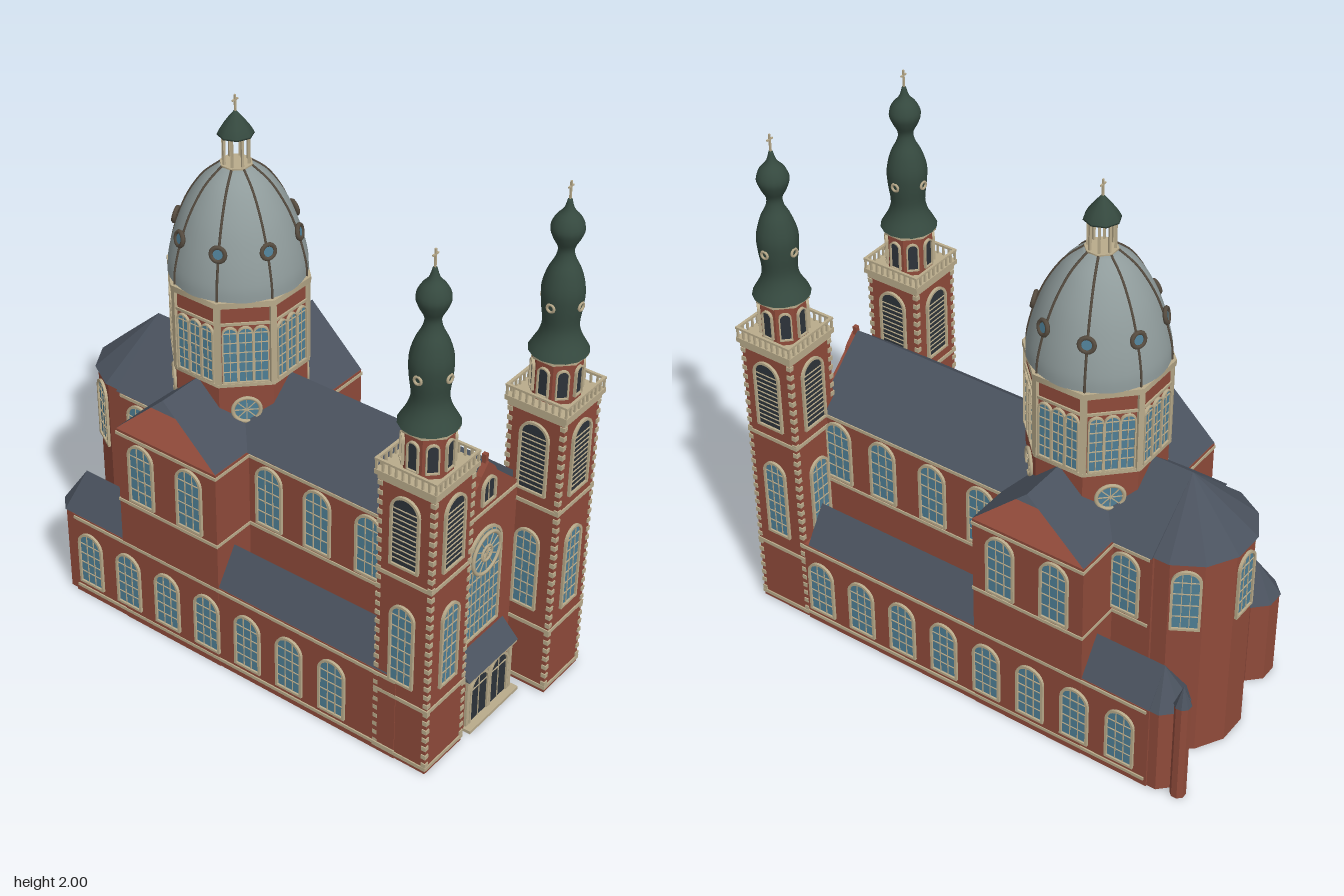
import * as THREE from 'three';

const mat = (color, extra = {}) => {
  const m = new THREE.MeshStandardMaterial(extra);
  m.color.set(color);
  return m;
};
const M = {
  brick: mat(0x8f4a3a, { flatShading: true }), slate: mat(0x4a525e, { flatShading: true, side: THREE.DoubleSide }),
  stone: mat(0xb9ab8b), glass: mat(0x4f7f96), dark: mat(0x2d333a), copper: mat(0x35493f),
  dome: mat(0x8f9b9b), rib: mat(0x564c40),
};

function add(parent, name, geo, material, x = 0, y = 0, z = 0, ry = 0) {
  const m = new THREE.Mesh(geo, material);
  m.name = name;
  m.position.set(x, y, z);
  m.rotation.y = ry;
  parent.add(m);
  return m;
}
function group(parent, name, x = 0, y = 0, z = 0, ry = 0) {
  const g = new THREE.Group();
  g.name = name;
  g.position.set(x, y, z);
  g.rotation.y = ry;
  parent.add(g);
  return g;
}
// box given by its bottom centre
const box = (p, name, m, w, h, d, x, y, z) => add(p, name, new THREE.BoxGeometry(w, h, d), m, x, y + h / 2, z);
// upright polygonal prism, or pyramid when r1 = 0, with a flat side facing z
const poly = (p, name, m, n, r0, r1, h, x, y, z) =>
  add(p, name, new THREE.CylinderGeometry(r1, r0, h, n), m, x, y + h / 2, z, Math.PI / n);
const spline = (pts, n) => new THREE.SplineCurve(pts.map(p => new THREE.Vector2(...p))).getPoints(n);

function archPath(Type, w, y0, y1) {
  const s = new Type(), r = w / 2;
  s.moveTo(-r, y0);
  s.lineTo(r, y0);
  s.lineTo(r, y1 - r);
  s.absarc(0, y1 - r, r, 0, Math.PI, false);
  s.closePath();
  return s;
}
// round-arched opening with frame, pane and glazing bars (or louvres)
function archWindow(p, name, w, h, x, y, z, ry = 0, { pane = M.glass, cols = 3, rows = 5, frame = 0.009 } = {}) {
  const g = group(p, name, x, y, z, ry);
  const ring = archPath(THREE.Shape, w + 2 * frame, -frame, h + frame);
  ring.holes.push(archPath(THREE.Path, w, 0, h));
  add(g, 'windowFrame', new THREE.ExtrudeGeometry(ring, { depth: 0.01, bevelEnabled: false, curveSegments: 8 }), M.stone);
  add(g, 'pane', new THREE.ShapeGeometry(archPath(THREE.Shape, w, 0, h), 8), pane, 0, 0, 0.003);
  const r = w / 2;
  for (let i = 1; i < cols; i++) {
    const bx = -r + (w * i) / cols;
    box(g, 'glazingBar', M.stone, 0.003, h - r + Math.sqrt(r * r - bx * bx), 0.004, bx, 0, 0.004);
  }
  for (let i = 1; i < rows; i++) box(g, 'crossBar', M.stone, w, 0.003, 0.004, 0, ((h - r) * i) / (rows - 1), 0.004);
}
function roundWindow(p, name, r, x, y, z, ry = 0, spokes = 4) {
  const g = group(p, name, x, y, z, ry);
  add(g, 'pane', new THREE.CircleGeometry(r, 20), M.glass, 0, 0, 0.004);
  add(g, 'ring', new THREE.TorusGeometry(r, 0.007, 6, 24), M.stone, 0, 0, 0.005);
  for (let i = 0; i < spokes; i++) {
    add(g, 'spoke', new THREE.BoxGeometry(2 * r, 0.003, 0.004), M.stone, 0, 0, 0.005).rotation.z = (i * Math.PI) / spokes;
  }
  return g;
}
function gableRoof(p, name, half, rise, z0, z1, x, y) {
  const s = new THREE.Shape([[-half, 0], [half, 0], [0, rise]].map(c => new THREE.Vector2(...c)));
  add(p, name, new THREE.ExtrudeGeometry(s, { depth: z1 - z0, bevelEnabled: false }), M.slate, x, y, z0);
}
function cross(p, y, h, x = 0, z = 0) {
  box(p, 'crossPost', M.stone, 0.006, h, 0.006, x, y, z);
  box(p, 'crossArm', M.stone, 0.028, 0.005, 0.005, x, y + h * 0.68, z);
}

function tower(p, x, z) {
  const t = group(p, 'tower', x, 0, z);
  box(t, 'shaft', M.brick, 0.21, 1.15, 0.21, 0, 0, 0);
  for (const y of [0.015, 0.265, 0.765, 1.125]) box(t, 'stringCourse', M.stone, 0.219, 0.014, 0.219, 0, y, 0);
  for (const sx of [-1, 1]) for (const sz of [-1, 1]) {
    for (let i = 0; i < 30; i++) box(t, 'quoin', M.stone, 0.018, 0.017, 0.018, sx * 0.1, 0.03 + i * 0.037, sz * 0.1);
  }
  box(t, 'balconyFloor', M.stone, 0.235, 0.018, 0.235, 0, 1.145, 0);
  for (let k = 0; k < 4; k++) {
    const side = group(t, 'towerSide', 0, 0, 0, (k * Math.PI) / 2);
    archWindow(side, 'towerWindow', 0.08, 0.31, 0, 0.35, 0.106, 0, { rows: 7 });
    archWindow(side, 'belfryLouvre', 0.095, 0.26, 0, 0.83, 0.106, 0, { pane: M.dark, cols: 1, rows: 12 });
    box(side, 'handrail', M.stone, 0.235, 0.008, 0.01, 0, 1.197, 0.112);
    for (let i = 0; i < 10; i++) box(side, 'baluster', M.stone, 0.007, 0.04, 0.007, -0.112 + i * 0.0249, 1.16, 0.112);
  }
  // octagonal lantern under the onion spire
  poly(t, 'lantern', M.brick, 8, 0.083, 0.083, 0.16, 0, 1.16, 0);
  poly(t, 'lanternCornice', M.stone, 8, 0.097, 0.097, 0.012, 0, 1.318, 0);
  for (let k = 0; k < 8; k++) {
    const side = group(t, 'lanternSide', 0, 0, 0, (k * Math.PI) / 4);
    archWindow(side, 'lanternOpening', 0.034, 0.1, 0, 1.19, 0.077, 0, { pane: M.dark, cols: 1, rows: 1, frame: 0.005 });
  }
  const profile = spline([[0.1, 1.33], [0.092, 1.345], [0.07, 1.385], [0.06, 1.43], [0.068, 1.5], [0.07, 1.56], [0.054, 1.62],
    [0.032, 1.665], [0.027, 1.7], [0.044, 1.735], [0.055, 1.77], [0.043, 1.805], [0.018, 1.835], [0.007, 1.87]], 44);
  add(t, 'onionSpire', new THREE.LatheGeometry([...profile, new THREE.Vector2(0, 1.872)], 16), M.copper);
  for (let k = 0; k < 4; k++) {
    const side = group(t, 'spireLucarne', 0, 0, 0, (k * Math.PI) / 2);
    add(side, 'lucarneRing', new THREE.TorusGeometry(0.013, 0.005, 6, 14), M.stone, 0, 1.51, 0.069);
  }
  cross(t, 1.865, 0.068);
}

function crossingDome(p) {
  const d = group(p, 'crossingDome', 0, 0, -0.29);
  poly(d, 'drum', M.brick, 8, 0.24, 0.24, 0.54, 0, 0.825, 0);
  for (const [y, r, h] of [[1.035, 0.248, 0.012], [1.275, 0.246, 0.01], [1.345, 0.252, 0.022]]) {
    poly(d, 'drumCornice', M.stone, 8, r, r, h, 0, y, 0);
  }
  const profile = spline([[0.236, 1.365], [0.232, 1.42], [0.21, 1.51], [0.172, 1.61], [0.115, 1.7], [0.052, 1.755]], 24);
  add(d, 'domeShell', new THREE.LatheGeometry([...profile, new THREE.Vector2(0, 1.757)], 32), M.dome);
  const ribCurve = new THREE.CatmullRomCurve3(profile.map(v => new THREE.Vector3(0, v.y, v.x + 0.001)));
  const ribGeo = new THREE.TubeGeometry(ribCurve, 20, 0.0045, 5);
  for (let k = 0; k < 8; k++) {
    const face = group(d, 'drumFace', 0, 0, 0, (k * Math.PI) / 4);
    roundWindow(face, 'drumRoundWindow', 0.047, 0, 0.94, 0.222);
    for (const i of [-1, 0, 1]) {
      archWindow(face, 'drumWindow', 0.043, 0.21, i * 0.052, 1.055, 0.222, 0, { cols: 2, rows: 6, frame: 0.005 });
    }
    const corner = group(d, 'drumCorner', 0, 0, 0, ((k + 0.5) * Math.PI) / 4);
    box(corner, 'pilaster', M.stone, 0.022, 0.31, 0.02, 0, 1.04, 0.236);
    add(corner, 'domeRib', ribGeo, M.rib);
    const luc = group(corner, 'domeLucarne', 0, 1.53, 0.205);
    luc.rotation.x = -0.2;
    add(luc, 'lucarneRing', new THREE.TorusGeometry(0.024, 0.008, 6, 16), M.rib, 0, 0, 0.008);
    add(luc, 'lucarneGlass', new THREE.CircleGeometry(0.022, 16), M.glass, 0, 0, 0.01);
    box(corner, 'lanternColumn', M.stone, 0.008, 0.115, 0.008, 0, 1.75, 0.044);
  }
  poly(d, 'lanternBase', M.stone, 8, 0.056, 0.056, 0.012, 0, 1.748, 0);
  const cap = spline([[0.062, 1.862], [0.05, 1.885], [0.028, 1.915], [0.006, 1.942]], 10);
  add(d, 'lanternCap', new THREE.LatheGeometry([new THREE.Vector2(0, 1.862), ...cap, new THREE.Vector2(0, 1.944)], 8), M.copper);
  cross(d, 1.935, 0.065);
}

function westFront(p) {
  const f = group(p, 'westFront');
  box(f, 'frontWall', M.brick, 0.44, 0.83, 0.04, 0, 0, 0.715);
  const gable = new THREE.Shape([[-0.2, 0.83], [0.2, 0.83], [0.05, 0.965], [0.04, 0.985], [0, 1.025], [-0.04, 0.985], [-0.05, 0.965]]
    .map(c => new THREE.Vector2(...c)));
  add(f, 'frontGable', new THREE.ExtrudeGeometry(gable, { depth: 0.03, bevelEnabled: false }), M.brick, 0, 0, 0.708);
  box(f, 'gableFinial', M.brick, 0.016, 0.035, 0.016, 0, 1.015, 0.722);
  box(f, 'gableBand', M.stone, 0.36, 0.012, 0.05, 0, 0.828, 0.718);
  archWindow(f, 'gableWindow', 0.06, 0.085, 0, 0.875, 0.739, 0, { pane: M.dark, cols: 2, rows: 1 });
  archWindow(f, 'greatWindow', 0.18, 0.42, 0, 0.33, 0.736, 0, { cols: 7, rows: 8 });
  const rose = roundWindow(f, 'roseWindow', 0.078, 0, 0.66, 0.744, 0, 6);
  add(rose, 'roseHub', new THREE.TorusGeometry(0.028, 0.006, 6, 18), M.stone, 0, 0, 0.005);
  // entrance porch
  box(f, 'porch', M.brick, 0.28, 0.215, 0.05, 0, 0, 0.755);
  for (const s of [-1, 1]) {
    archWindow(f, 'door', 0.095, 0.185, s * 0.058, 0.01, 0.781, 0, { pane: M.dark, cols: 2, rows: 2 });
    box(f, 'porchPier', M.stone, 0.016, 0.2, 0.016, s * 0.125, 0, 0.782);
  }
  box(f, 'porchPier', M.stone, 0.014, 0.2, 0.016, 0, 0, 0.782);
  box(f, 'porchLintel', M.stone, 0.29, 0.012, 0.07, 0, 0.208, 0.765);
  const canopy = new THREE.Shape([[0, 0], [0.07, 0], [0, 0.07]].map(c => new THREE.Vector2(...c)));
  add(f, 'porchRoof', new THREE.ExtrudeGeometry(canopy, { depth: 0.29, bevelEnabled: false }), M.slate, 0.145, 0.22, 0.733, -Math.PI / 2);
  box(f, 'frontStep', M.stone, 0.29, 0.012, 0.03, 0, 0, 0.8);
}

export function createModel() {
  const root = new THREE.Group();
  root.name = 'church';

  // nave with polygonal apse
  box(root, 'nave', M.brick, 0.45, 0.83, 1.38, 0, 0, 0.03);
  gableRoof(root, 'naveRoof', 0.235, 0.205, -0.66, 0.715, 0, 0.83);
  poly(root, 'apse', M.brick, 12, 0.222, 0.222, 0.83, 0, 0, -0.66);
  poly(root, 'apseRoof', M.slate, 12, 0.232, 0, 0.205, 0, 0.83, -0.66);
  for (const a of [-1, 0, 1]) {
    const side = group(root, 'apseSide', 0, 0, -0.66, Math.PI + (a * Math.PI) / 3);
    archWindow(side, 'apseWindow', 0.085, 0.235, 0, 0.56, 0.216);
  }
  for (const y of [0.525, 0.808]) box(root, 'naveBand', M.stone, 0.458, 0.012, 1.36, 0, y, 0.03);

  // transept, its roof open at the ends
  box(root, 'transept', M.brick, 0.8, 0.83, 0.44, 0, 0, -0.29);
  for (const y of [0.525, 0.808]) box(root, 'transeptBand', M.stone, 0.808, 0.012, 0.446, 0, y, -0.29);
  const roof = new THREE.BufferGeometry();
  roof.setAttribute('position', new THREE.Float32BufferAttribute(
    [-0.4, 0, 0.22, 0.4, 0, 0.22, -0.4, 0.205, 0, 0.4, 0.205, 0, -0.4, 0, -0.22, 0.4, 0, -0.22], 3));
  roof.setIndex([0, 1, 3, 0, 3, 2, 2, 3, 5, 2, 5, 4]);
  roof.computeVertexNormals();
  add(root, 'transeptRoof', roof, M.slate, 0, 0.832, -0.29);

  // aisles, with small apses behind
  for (const s of [-1, 1]) {
    const end = s > 0 ? -0.775 : -0.755, len = 0.68 - end, mid = (0.68 + end) / 2;
    const aisle = group(root, s > 0 ? 'leftAisle' : 'rightAisle');
    box(aisle, 'aisleWall', M.brick, 0.178, 0.35, len, s * 0.309, 0, mid);
    for (const y of [0.025, 0.333]) box(aisle, 'aisleBand', M.stone, 0.186, 0.012, len - 0.01, s * 0.31, y, mid + 0.005);
    gableRoof(aisle, 'aisleRoof', 0.088, 0.135, end, 0.66, s * 0.31, 0.352);
    poly(aisle, 'aisleApse', M.brick, 8, 0.088, 0.088, 0.35, s * 0.31, 0, end);
    poly(aisle, 'aisleApseRoof', M.slate, 8, 0.093, 0, 0.137, s * 0.31, 0.35, end);
    const ry = (s * Math.PI) / 2;
    for (let i = s > 0 ? 0 : 1; i < 8; i++) archWindow(aisle, 'aisleWindow', 0.095, 0.215, s * 0.401, 0.07, 0.605 - i * 0.182, ry);
    for (const z of [0.635, 0.44, 0.225, 0.02, -0.56]) archWindow(aisle, 'clerestoryWindow', 0.095, 0.235, s * 0.227, 0.56, z, ry);
    for (const z of [-0.185, -0.4]) archWindow(aisle, 'transeptWindow', 0.095, 0.235, s * 0.402, 0.56, z, ry);
  }

  // stair turret at the back
  poly(root, 'stairTurret', M.brick, 8, 0.028, 0.028, 0.41, 0.36, 0, -0.878);
  poly(root, 'stairTurretRoof', M.slate, 8, 0.031, 0, 0.08, 0.36, 0.41, -0.878);

  westFront(root);
  crossingDome(root);
  tower(root, 0.29, 0.79);
  tower(root, -0.29, 0.7);
  return root;
}
